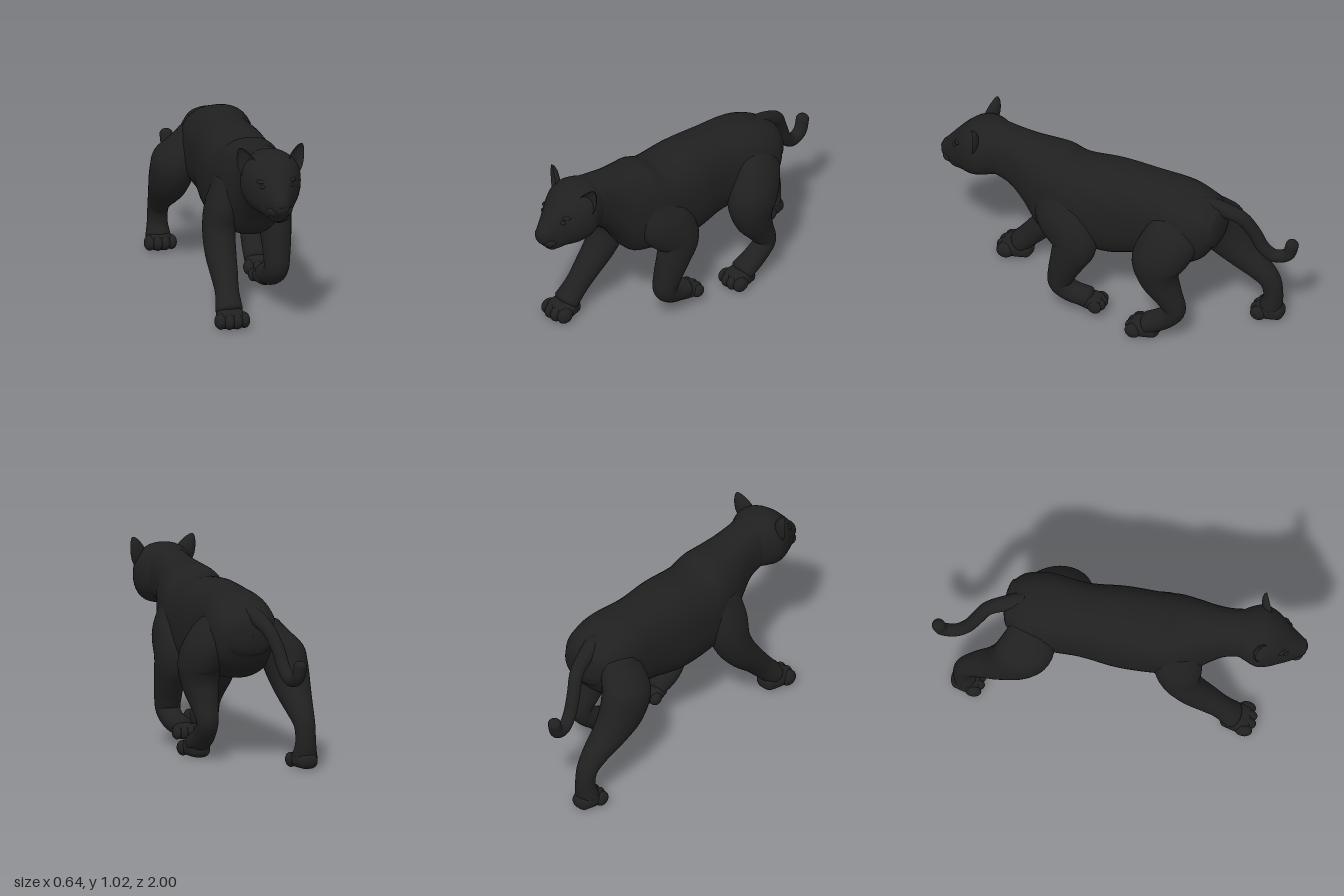
import * as THREE from 'three';

const coat = new THREE.MeshStandardMaterial({ color: 0x202020 });
coat.name = 'black coat';
const cup = new THREE.MeshStandardMaterial({ color: 0x202020, side: THREE.DoubleSide });
cup.name = 'black ear';

// Smooth interpolation through a list of sections
function sample(sections, t) {
  const n = sections.length - 1;
  const i = Math.min(Math.floor(t * n), n - 1), f = t * n - i;
  const at = (k) => sections[Math.max(0, Math.min(n, k))];
  return sections[i].map((_, c) => {
    const [a, b, d, e] = [at(i - 1)[c], at(i)[c], at(i + 1)[c], at(i + 2)[c]];
    return b + 0.5 * f * (d - a + f * (2 * a - 5 * b + 4 * d - e + f * (3 * (b - d) + e - a)));
  });
}

// Skin over sections [x, y, z, half width, half depth], with rounded ends.
// upright keeps every ring vertical; power above 2 makes the rings squarer.
function loft(name, sections, { upright = false, power = 2, cap = 0.03 } = {}) {
  const steps = (sections.length - 1) * 6, sides = 36, capSteps = 6, rings = [];
  const tangent = (t) => {
    if (upright) return [0, 1];
    const a = sample(sections, Math.max(0, t - 0.04)), b = sample(sections, Math.min(1, t + 0.04));
    const l = Math.hypot(b[1] - a[1], b[2] - a[2]);
    return [(b[1] - a[1]) / l, (b[2] - a[2]) / l];
  };
  const addRing = (t, offset, scale) => {
    const [x, y, z, w, d] = sample(sections, t), [ty, tz] = tangent(t);
    rings.push([x, y + ty * offset, z + tz * offset, w * scale, d * scale, ty, tz]);
  };
  for (let k = capSteps; k > 0; k--) {
    const a = (k / capSteps) * 1.56;
    addRing(0, -cap * Math.sin(a), Math.cos(a));
  }
  for (let i = 0; i <= steps; i++) addRing(i / steps, 0, 1);
  for (let k = 1; k <= capSteps; k++) {
    const a = (k / capSteps) * 1.56;
    addRing(1, cap * Math.sin(a), Math.cos(a));
  }
  const pos = [], index = [];
  const soft = (v) => Math.sign(v) * Math.abs(v) ** (2 / power);
  rings.forEach(([x, y, z, w, d, ty, tz], i) => {
    for (let j = 0; j < sides; j++) {
      const a = (j / sides) * Math.PI * 2, u = soft(Math.cos(a)) * w, v = soft(Math.sin(a)) * d;
      pos.push(x + u, y + tz * v, z - ty * v);
      if (i === rings.length - 1) continue;
      const p = i * sides + j, q = i * sides + ((j + 1) % sides);
      index.push(p, q, p + sides, q, q + sides, p + sides);
    }
  });
  const geo = new THREE.BufferGeometry();
  geo.setAttribute('position', new THREE.Float32BufferAttribute(pos, 3));
  geo.setIndex(index);
  geo.computeVertexNormals();
  const mesh = new THREE.Mesh(geo, coat);
  mesh.name = name;
  return mesh;
}

function blob(name, [x, y, z], [rx, ry, rz]) {
  const mesh = new THREE.Mesh(new THREE.SphereGeometry(1, 24, 16), coat);
  mesh.position.set(x, y, z);
  mesh.scale.set(rx, ry, rz);
  mesh.name = name;
  return mesh;
}

// Paw with four toes pointing along +z
function paw(name, x, y, z, size = 1, turn = 0) {
  const g = new THREE.Group();
  g.name = name;
  g.add(loft('pad', [
    [0, 0.05, -0.07, 0.056, 0.042], [0, 0.058, -0.02, 0.073, 0.052], [0, 0.052, 0.04, 0.08, 0.045],
  ], { upright: true, power: 2.5 }));
  for (const dx of [-0.062, -0.021, 0.021, 0.062]) {
    g.add(blob('toe', [dx, 0.05, Math.abs(dx) > 0.05 ? 0.033 : 0.047], [0.031, 0.042, 0.046]));
  }
  g.position.set(x, y, z);
  g.scale.setScalar(size);
  g.rotation.y = turn;
  return g;
}

function ear(side) {
  const geo = new THREE.SphereGeometry(1, 28, 14, 0, Math.PI * 2, 0, Math.PI / 2);
  geo.rotateX(-Math.PI / 2);
  const p = geo.attributes.position;
  for (let i = 0; i < p.count; i++) p.setX(i, p.getX(i) * (1 - 0.35 * p.getY(i))); // narrower tip
  geo.scale(0.05, 0.09, 0.036);
  geo.computeVertexNormals();
  const mesh = new THREE.Mesh(geo, cup);
  mesh.position.set(side * 0.139, 0.943, 0.77);
  mesh.rotation.set(0, side * 0.45, -side * 0.42);
  mesh.name = side > 0 ? 'leftEar' : 'rightEar';
  return mesh;
}

export function createModel() {
  const model = new THREE.Group();
  model.name = 'walkingBigCat';

  // Torso and neck, from rump to throat
  model.add(loft('torso', [
    [0.02, 0.7, -0.59, 0.13, 0.115], [0.02, 0.68, -0.53, 0.175, 0.175], [0.015, 0.67, -0.4, 0.195, 0.23],
    [0, 0.67, -0.2, 0.182, 0.24], [0, 0.65, 0, 0.2, 0.265], [0, 0.645, 0.2, 0.2, 0.255],
    [0, 0.67, 0.3, 0.192, 0.265], [0, 0.69, 0.4, 0.17, 0.257], [0, 0.755, 0.49, 0.138, 0.202],
    [0, 0.81, 0.58, 0.118, 0.163], [0, 0.84, 0.68, 0.122, 0.145],
  ], { upright: true, power: 2.4, cap: 0.04 }));

  // Head, tapering to the muzzle
  const head = new THREE.Group();
  head.name = 'head';
  head.add(loft('skull', [
    [0, 0.82, 0.61, 0.1, 0.13], [0, 0.837, 0.67, 0.135, 0.15], [0, 0.832, 0.74, 0.163, 0.16],
    [0, 0.82, 0.8, 0.15, 0.16], [0, 0.8, 0.86, 0.118, 0.137], [0, 0.77, 0.91, 0.084, 0.114],
    [0, 0.757, 0.95, 0.06, 0.079], [0, 0.755, 0.98, 0.042, 0.045],
  ], { upright: true, power: 2.25, cap: 0.015 }));
  head.add(blob('nose', [0, 0.762, 0.981], [0.032, 0.021, 0.019]));
  head.add(blob('chin', [0, 0.687, 0.905], [0.05, 0.038, 0.042]));
  for (const s of [-1, 1]) {
    head.add(blob('muzzlePad', [s * 0.031, 0.724, 0.937], [0.038, 0.033, 0.042]));
    head.add(blob('eye', [s * 0.074, 0.843, 0.886], [0.021, 0.013, 0.02]));
    head.add(blob('brow', [s * 0.074, 0.867, 0.866], [0.034, 0.013, 0.026]));
    head.add(ear(s));
  }
  model.add(head);

  // Front legs: right reaches forward, left is lifted with the paw folded back
  model.add(loft('rightFrontLeg', [
    [-0.11, 0.73, 0.32, 0.08, 0.12], [-0.15, 0.58, 0.325, 0.095, 0.13], [-0.175, 0.45, 0.345, 0.088, 0.108],
    [-0.183, 0.34, 0.41, 0.083, 0.088], [-0.185, 0.25, 0.49, 0.073, 0.072],
    [-0.188, 0.17, 0.56, 0.064, 0.064], [-0.195, 0.095, 0.627, 0.074, 0.06],
  ]));
  model.add(paw('rightFrontPaw', -0.195, 0, 0.66, 1.03));
  model.add(loft('leftFrontLeg', [
    [0.11, 0.73, 0.3, 0.08, 0.11], [0.15, 0.61, 0.255, 0.092, 0.145], [0.175, 0.48, 0.165, 0.088, 0.125],
    [0.175, 0.36, 0.2, 0.081, 0.1], [0.17, 0.26, 0.235, 0.073, 0.079], [0.165, 0.18, 0.247, 0.066, 0.066],
    [0.155, 0.13, 0.19, 0.062, 0.058], [0.145, 0.11, 0.1, 0.06, 0.055],
  ]));
  model.add(paw('leftFrontPaw', 0.142, 0.045, 0.07, 0.82, Math.PI));

  // Hind legs: left swings under the belly, right pushes off behind
  model.add(loft('leftHindLeg', [
    [0.09, 0.77, -0.45, 0.09, 0.11], [0.14, 0.7, -0.415, 0.112, 0.145], [0.18, 0.61, -0.37, 0.122, 0.15],
    [0.205, 0.51, -0.325, 0.115, 0.142], [0.205, 0.4, -0.335, 0.096, 0.11], [0.2, 0.3, -0.385, 0.074, 0.078],
    [0.2, 0.21, -0.422, 0.058, 0.058], [0.195, 0.135, -0.355, 0.06, 0.06], [0.195, 0.085, -0.27, 0.07, 0.056],
  ]));
  model.add(paw('leftHindPaw', 0.195, 0, -0.235, 0.97));
  model.add(loft('rightHindLeg', [
    [-0.1, 0.74, -0.46, 0.09, 0.11], [-0.185, 0.61, -0.48, 0.118, 0.15], [-0.21, 0.49, -0.54, 0.107, 0.145],
    [-0.21, 0.385, -0.64, 0.09, 0.097], [-0.205, 0.31, -0.735, 0.072, 0.07], [-0.205, 0.24, -0.8, 0.057, 0.058],
    [-0.205, 0.15, -0.818, 0.055, 0.052], [-0.205, 0.08, -0.805, 0.066, 0.06],
  ]));
  model.add(paw('rightHindPaw', -0.205, 0, -0.785, 0.95));

  // Tail, hanging and curling up at the tip
  model.add(loft('tail', [
    [0.01, 0.81, -0.52, 0.05, 0.05], [-0.015, 0.783, -0.62, 0.043, 0.042], [-0.04, 0.735, -0.71, 0.038, 0.038],
    [-0.07, 0.64, -0.765, 0.036, 0.036], [-0.085, 0.545, -0.81, 0.035, 0.035], [-0.1, 0.495, -0.87, 0.035, 0.035],
    [-0.113, 0.515, -0.94, 0.035, 0.035], [-0.118, 0.58, -0.963, 0.035, 0.035],
  ]));
  return model;
}
